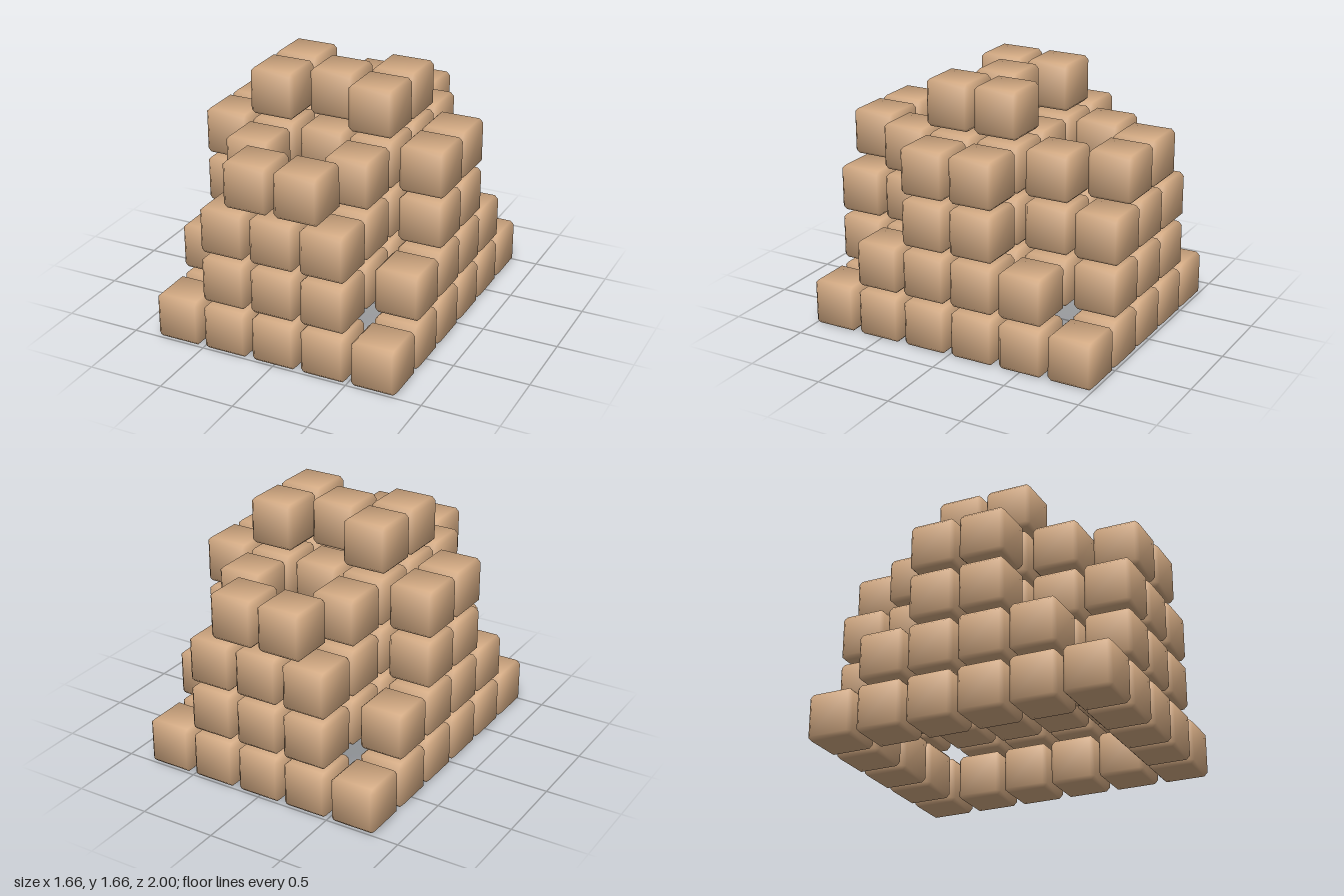
import * as THREE from 'three';
import { ConvexGeometry } from 'three/addons/geometries/ConvexGeometry.js';

const SIZE = 0.305;   // cube edge
const STEP = 0.339;   // distance between cube centres
const BEVEL = 0.024;

// Cube with chamfered edges and softly blended normals
function blockGeometry() {
  const h = SIZE / 2, c = h - BEVEL;
  const points = [];
  for (const sx of [-1, 1]) for (const sy of [-1, 1]) for (const sz of [-1, 1]) {
    points.push(
      new THREE.Vector3(sx * h, sy * c, sz * c),
      new THREE.Vector3(sx * c, sy * h, sz * c),
      new THREE.Vector3(sx * c, sy * c, sz * h));
  }
  const geometry = new ConvexGeometry(points);
  const pos = geometry.attributes.position, normal = geometry.attributes.normal;
  const n = new THREE.Vector3();
  const lean = v => Math.sign(v) * (Math.abs(v) > (h + c) / 2 ? 1 : 0.43);
  for (let i = 0; i < pos.count; i++) {
    n.set(lean(pos.getX(i)), lean(pos.getY(i)), lean(pos.getZ(i))).normalize();
    normal.setXYZ(i, n.x, n.y, n.z);
  }
  return geometry;
}

// Every pair of the given columns and rows
const cells = (columns, rows) => columns.flatMap(i => rows.map(j => [i, j]));

export function createModel() {
  const model = new THREE.Group();
  model.name = 'blockMound';
  const clay = new THREE.MeshStandardMaterial({ color: 0xd2a982 });
  clay.name = 'tan clay';
  const geometry = blockGeometry();

  const allColumns = [-2, -1, 0, 1, 2], inner = [-1, 0, 1];
  const allRows = [-2.5, -1.5, -0.5, 0.5, 1.5, 2.5];
  const innerRows = [-1.5, -0.5, 0.5, 1.5], midRows = [-0.5, 0.5];

  const layers = [
    // hollow ring on the ground
    { name: 'baseRing', list: cells(allColumns, allRows).filter(([i, j]) => Math.abs(i) === 2 || Math.abs(j) === 2.5) },
    // full layer without its corners
    { name: 'lowerLayer', list: cells(allColumns, allRows).filter(([i, j]) => !(Math.abs(i) === 2 && Math.abs(j) === 2.5)) },
    // cross-shaped layer
    { name: 'middleLayer', list: [...cells(inner, allRows), ...cells([-2, 2], midRows)] },
    // broken layer with half-offset pairs at front and back
    { name: 'upperLayer', list: [
      ...cells([-0.5, 0.5], [-2.5, 2.5]),
      ...cells([-1, 1], innerRows),
      ...cells([-2, 0, 2], midRows)] },
    // crown of five blocks, nudged slightly forward
    { name: 'crown', shift: 0.017, list: [...cells([-1, 1], midRows), [0, 0.04]] },
  ];

  layers.forEach(({ name, list, shift = 0 }, k) => {
    const layer = new THREE.Group();
    layer.name = name;
    layer.position.set(0, SIZE / 2 + k * STEP, shift);
    for (const [i, j] of list) {
      const block = new THREE.Mesh(geometry, clay);
      block.name = 'block';
      block.position.set(i * STEP, 0, j * STEP);
      layer.add(block);
    }
    model.add(layer);
  });
  return model;
}
